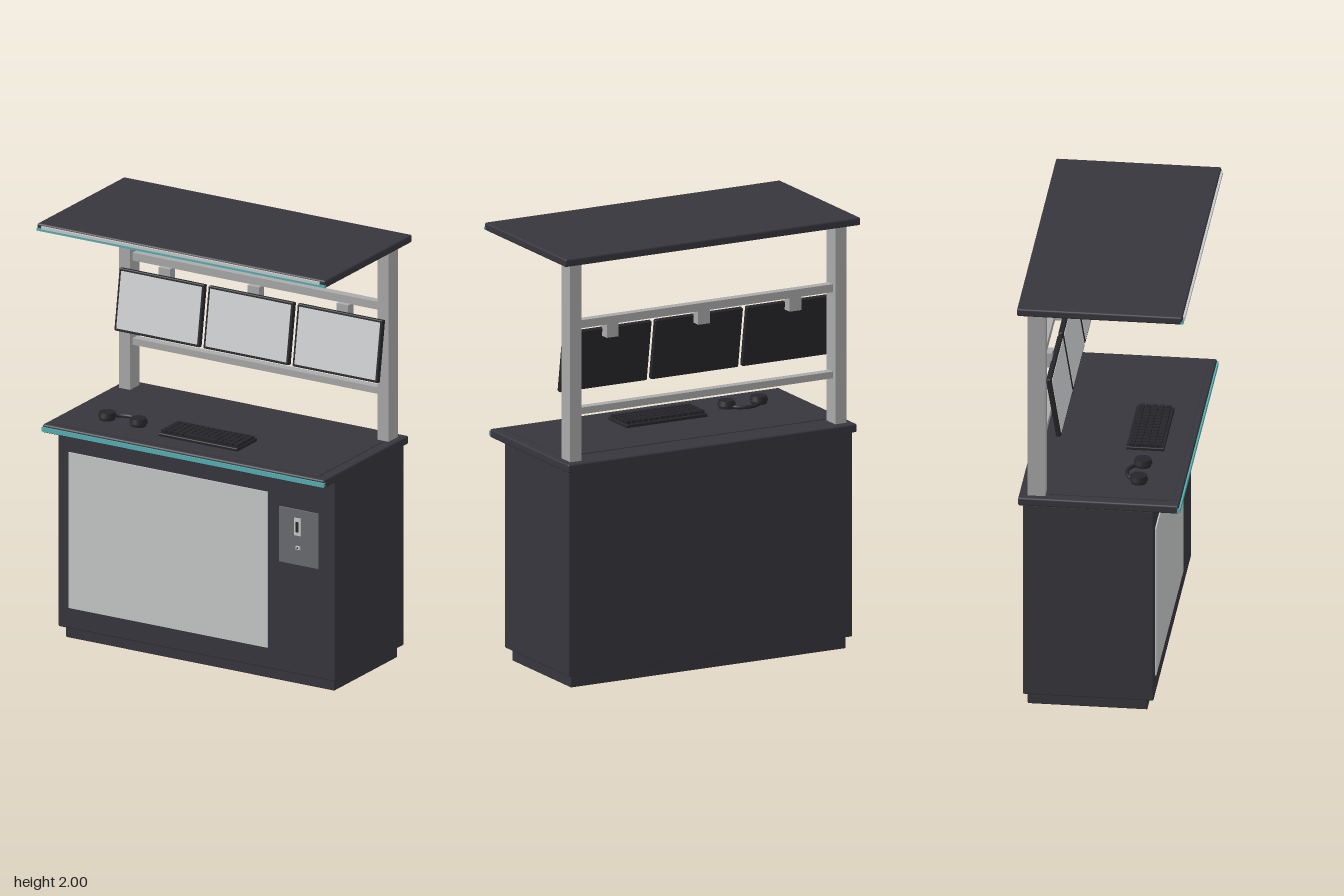
import * as THREE from 'three';
import { RoundedBoxGeometry } from 'three/addons/geometries/RoundedBoxGeometry.js';

const mat = (name, color) => {
  const m = new THREE.MeshStandardMaterial({ color });
  m.name = name;
  return m;
};

export function createModel() {
  const dark = mat('charcoal laminate', 0x37363d);
  const black = mat('black plastic', 0x26262a);
  const metal = mat('grey metal', 0xaaaaab);
  const panelGrey = mat('light panel', 0xc7c8c9);
  const screenGrey = mat('screen', 0xd2d3d5);
  const plateGrey = mat('plate grey', 0x6a6b70);
  const teal = mat('teal strip', 0x55b0b4);

  const root = new THREE.Group();
  root.name = 'workstation';

  const add = (parent, name, geometry, material, x = 0, y = 0, z = 0) => {
    const mesh = new THREE.Mesh(geometry, material);
    mesh.name = name;
    mesh.position.set(x, y, z);
    parent.add(mesh);
    return mesh;
  };
  // Box from its limits on each axis, optionally with rounded edges
  const box = (parent, name, material, [x0, x1], [y0, y1], [z0, z1], r = 0) => {
    const size = [x1 - x0, y1 - y0, z1 - z0];
    const geo = r ? new RoundedBoxGeometry(...size, 2, r) : new THREE.BoxGeometry(...size);
    return add(parent, name, geo, material, (x0 + x1) / 2, (y0 + y1) / 2, (z0 + z1) / 2);
  };

  // Cabinet
  box(root, 'plinth', dark, [-0.705, 0.705], [0, 0.056], [-0.335, 0.205], 0.004);
  box(root, 'cabinet', dark, [-0.727, 0.727], [0.056, 1.006], [-0.355, 0.235], 0.006);
  box(root, 'frontPanel', panelGrey, [-0.67, 0.375], [0.155, 0.893], [0.232, 0.241]);

  // Access plate with a framed slot and a small button
  const access = new THREE.Group();
  access.name = 'accessPlate';
  root.add(access);
  box(access, 'plate', plateGrey, [0.437, 0.642], [0.578, 0.838], [0.232, 0.244]);
  box(access, 'slotFrame', panelGrey, [0.521, 0.555], [0.718, 0.8], [0.242, 0.25]);
  box(access, 'slot', black, [0.531, 0.545], [0.735, 0.783], [0.248, 0.253]);
  box(access, 'button', panelGrey, [0.528, 0.55], [0.652, 0.668], [0.242, 0.25]);
  box(access, 'buttonCentre', black, [0.536, 0.542], [0.657, 0.663], [0.249, 0.252]);

  // Worktop with glowing front strip
  box(root, 'worktop', dark, [-0.74, 0.74], [1.006, 1.045], [-0.375, 0.35], 0.008);
  box(root, 'worktopInlay', dark, [-0.69, 0.69], [1.043, 1.048], [-0.24, 0.32]);
  box(root, 'worktopStrip', teal, [-0.74, 0.74], [1.013, 1.034], [0.34, 0.357]);

  // Canopy with a light bar and a strip along the front
  box(root, 'canopy', dark, [-0.757, 0.757], [1.964, 2], [-0.378, 0.368], 0.008);
  box(root, 'canopyStrip', teal, [-0.757, 0.757], [1.967, 1.979], [0.36, 0.373]);
  box(root, 'canopyLightBar', panelGrey, [-0.73, 0.73], [1.979, 1.992], [0.36, 0.378]);

  // Posts and rails
  for (const s of [-1, 1]) {
    box(root, s > 0 ? 'leftPost' : 'rightPost', metal,
      [s * 0.679 - 0.029, s * 0.679 + 0.029], [1.04, 1.968], [-0.335, -0.255]);
  }
  box(root, 'upperRail', metal, [-0.655, 0.655], [1.653, 1.69], [-0.315, -0.275]);
  box(root, 'lowerRail', metal, [-0.655, 0.655], [1.254, 1.285], [-0.315, -0.275]);

  // Three tilted monitors hung from the upper rail
  for (const x of [-0.468, 0, 0.468]) {
    const monitor = new THREE.Group();
    monitor.name = 'monitor';
    monitor.position.set(x, 1.48, -0.22);
    monitor.rotation.x = -0.16;
    root.add(monitor);
    box(monitor, 'monitorCase', black, [-0.224, 0.224], [-0.144, 0.144], [-0.012, 0.012], 0.005);
    box(monitor, 'monitorScreen', screenGrey, [-0.212, 0.212], [-0.132, 0.132], [0.009, 0.014]);
    box(root, 'monitorBracket', metal, [x - 0.03, x + 0.03], [1.585, 1.655], [-0.295, -0.25]);
  }

  // Keyboard
  const keyboard = new THREE.Group();
  keyboard.name = 'keyboard';
  root.add(keyboard);
  box(keyboard, 'keyboardBase', black, [-0.21, 0.205], [1.045, 1.062], [0.05, 0.222], 0.004);
  for (let row = 0; row < 5; row++) {
    for (let col = 0; col < 14; col++) {
      const x = -0.191 + col * 0.0291, z = 0.076 + row * 0.03;
      if (row === 4 && col > 3 && col < 10) continue;
      box(keyboard, 'key', black, [x - 0.0115, x + 0.0115], [1.06, 1.075], [z - 0.012, z + 0.012]);
    }
  }
  box(keyboard, 'spaceBar', black, [-0.086, 0.083], [1.06, 1.075], [0.184, 0.208]);

  // Headset lying on the worktop
  const headset = new THREE.Group();
  headset.name = 'headset';
  root.add(headset);
  for (const x of [-0.525, -0.36]) {
    add(headset, 'earCushion', new THREE.CylinderGeometry(0.036, 0.036, 0.016, 24), black, x, 1.055, 0.145);
    add(headset, 'earCup', new THREE.CylinderGeometry(0.036, 0.042, 0.022, 24), black, x, 1.073, 0.145);
  }
  const band = new THREE.CatmullRomCurve3([
    new THREE.Vector3(-0.525, 1.058, 0.145),
    new THREE.Vector3(-0.495, 1.056, 0.1),
    new THREE.Vector3(-0.4425, 1.056, 0.082),
    new THREE.Vector3(-0.39, 1.056, 0.1),
    new THREE.Vector3(-0.36, 1.058, 0.145),
  ]);
  add(headset, 'headband', new THREE.TubeGeometry(band, 24, 0.009, 8), black);

  return root;
}
